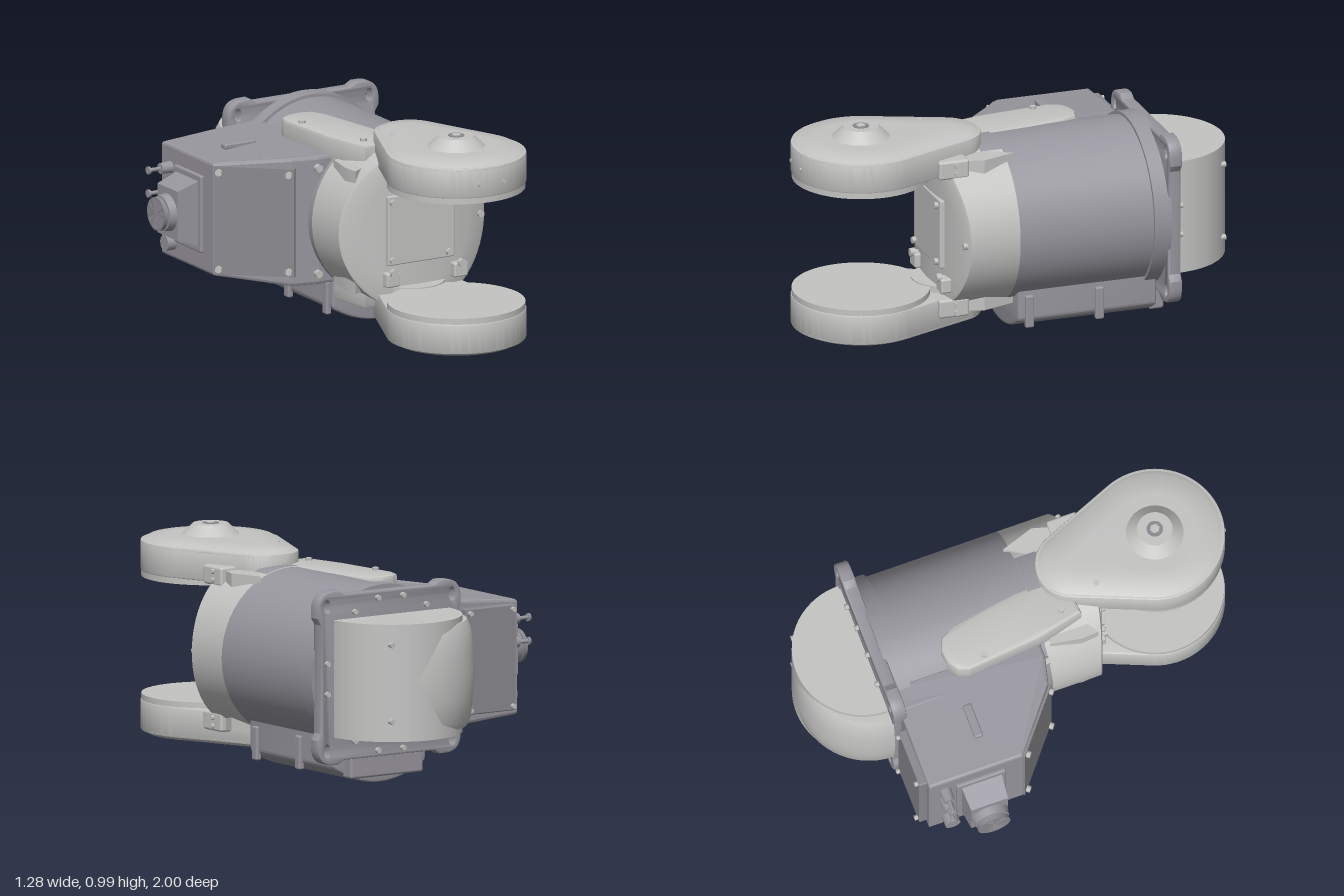
import * as THREE from 'three';
import { toCreasedNormals } from 'three/addons/utils/BufferGeometryUtils.js';
import { RoundedBoxGeometry } from 'three/addons/geometries/RoundedBoxGeometry.js';

const mat = (name, color, side = THREE.FrontSide) => {
  const m = new THREE.MeshStandardMaterial({ color, side });
  m.name = name;
  return m;
};

export function createModel() {
  const root = new THREE.Group();
  root.name = 'robotWristUnit';
  const light = mat('lightGrey', 0xc4c4c3, THREE.DoubleSide);
  const dark = mat('violetGrey', 0x98969e, THREE.DoubleSide);
  const panel = mat('panelGrey', 0x8a898f);
  const CX = 0.245, CY = 0.5, R = 0.372;

  const add = (name, geo, m, x = 0, y = 0, z = 0) => {
    const mesh = new THREE.Mesh(geo, m);
    mesh.name = name;
    mesh.position.set(x, y, z);
    root.add(mesh);
    return mesh;
  };
  const box = (name, m, x0, x1, y0, y1, z0, z1, r = 0) => {
    const s = [x1 - x0, y1 - y0, z1 - z0];
    return add(name, r ? new RoundedBoxGeometry(...s, 3, r) : new THREE.BoxGeometry(...s), m,
      (x0 + x1) / 2, (y0 + y1) / 2, (z0 + z1) / 2);
  };
  // Cylinders along an axis; r1 is the radius at the positive end
  const cyl = (name, m, axis, r0, r1, len, x, y, z, sides = 24) => {
    const g = new THREE.CylinderGeometry(r1, r0, len, sides);
    if (axis === 'z') g.rotateX(Math.PI / 2);
    if (axis === 'x') g.rotateZ(-Math.PI / 2);
    return add(name, g, m, x, y, z);
  };
  const bolt = (x, y, z, r = 0.016, axis = 'z') => cyl('bolt', light, axis, r, r, 0.024, x, y, z, 6);
  const crease = (g, a = 0.5) => toCreasedNormals(g, a);
  // Horizontal slab from an (x, z) outline between two heights
  const slabGeo = (shape, y0, y1, bevel = 0, inset = 0) => {
    const g = new THREE.ExtrudeGeometry(shape, {
      depth: Math.abs(y1 - y0) - 2 * bevel, curveSegments: 40, bevelEnabled: bevel > 0,
      bevelThickness: bevel, bevelSize: inset, bevelOffset: -inset, bevelSegments: 2 });
    g.rotateX(Math.PI / 2).translate(0, Math.max(y0, y1) - bevel, 0);
    return crease(g);
  };
  const poly = (pts) => new THREE.Shape(pts.map(p => new THREE.Vector2(...p)));

  // Main barrel with rear collar
  cyl('mainBarrel', dark, 'z', R, R, 0.66, CX, CY, -0.25, 64);
  cyl('barrelCollar', dark, 'z', 0.386, 0.386, 0.08, CX, CY, -0.58, 64);

  // Light nose whose front face curves back towards the sides
  const profile = [[R, 0.08], [R, 0.29], [R, 0.375], [0.36, 0.38], [0.27, 0.38], [0.18, 0.38], [0.09, 0.38], [0, 0.38]]
    .map(p => new THREE.Vector2(...p));
  const nose = new THREE.LatheGeometry(profile, 64).rotateX(Math.PI / 2);
  const np = nose.attributes.position;
  for (let i = 0; i < np.count; i++)
    if (np.getZ(i) > 0.3) np.setZ(i, np.getZ(i) - 0.5 * np.getX(i) ** 2);
  add('frontNose', crease(nose), light, CX, CY, 0);
  add('topDarkPatch', new THREE.CylinderGeometry(R + 0.003, R + 0.003, 0.1, 10, 1, true, Math.PI - 0.35, 0.47)
    .rotateX(Math.PI / 2), dark, CX, CY, 0.13);

  // Front inspection plate and its bolts
  box('frontPlate', light, 0.08, 0.42, 0.345, 0.66, 0.35, 0.385, 0.006);
  for (const x of [0.1, 0.388]) for (const y of [0.37, 0.632]) bolt(x, y, 0.39);
  bolt(0.585, 0.5, 0.325);
  for (const x of [0.1, 0.445]) {
    box('stopBracket', light, x - 0.035, x + 0.035, 0.25, 0.315, 0.35, 0.4, 0.008);
    bolt(x, 0.315, 0.4, 0.02);
  }

  // Rounded square flange with corner slots
  const flange = new THREE.Shape();
  const h = 0.385, c = 0.085, w = 0.018, k = 0.27;
  flange.moveTo(-h + c, -h);
  for (let i = 0; i < 4; i++) {
    const rot = (x, y) => {
      const a = i * Math.PI / 2, C = Math.cos(a), S = Math.sin(a);
      return [x * C - y * S, x * S + y * C];
    };
    flange.lineTo(...rot(-k, -h));
    flange.lineTo(...rot(-k + 0.03, -h + w));
    flange.lineTo(...rot(k - 0.03, -h + w));
    flange.lineTo(...rot(k, -h));
    flange.lineTo(...rot(h - c, -h));
    flange.quadraticCurveTo(...rot(h, -h), ...rot(h, -h + c));
  }
  for (const sx of [-1, 1]) for (const sy of [-1, 1]) {
    const hole = new THREE.Path();
    hole.absellipse(sx * 0.335, sy * 0.32, 0.016, 0.028, 0, Math.PI * 2, true);
    flange.holes.push(hole);
  }
  add('mountingFlange', crease(new THREE.ExtrudeGeometry(flange, {
    depth: 0.045, bevelThickness: 0.008, bevelSize: 0.008, bevelOffset: -0.008, bevelSegments: 2, curveSegments: 10 })),
    dark, CX, CY, -0.66);
  for (let i = 0; i < 16; i++) {
    const a = (i + 0.5) * Math.PI / 8;
    bolt(CX + 0.345 * Math.cos(a), CY + 0.345 * Math.sin(a), -0.672, 0.013);
  }

  // Rear rounded wrist housing: half drum and an offset bulged shell
  const half = new THREE.CylinderGeometry(0.31, 0.31, 0.52, 48, 1, false, Math.PI / 2, Math.PI);
  add('rearDrum', half, light, 0.24, CY, -0.675);
  box('rearDrumRoot', light, -0.06, 0.54, 0.25, 0.75, -0.69, -0.64);
  const bulge = [[0, -0.235], [0.3, -0.235], [0.318, -0.2], [0.328, -0.1], [0.336, 0], [0.328, 0.1], [0.318, 0.2], [0.3, 0.235], [0, 0.235]]
    .map(p => new THREE.Vector2(...p));
  add('rearShell', crease(new THREE.LatheGeometry(bulge, 40, Math.PI / 2, Math.PI), 0.6), light, 0.195, CY, -0.662);
  for (const y of [0.33, 0.67]) bolt(0.42, y, -0.93, 0.014);

  // Side connector housing, growing taller towards the barrel
  const housing = slabGeo(poly([[-0.47, -0.625], [-0.47, -0.19], [-0.2, 0.03], [-0.08, 0.06], [0.02, 0.06], [0.02, -0.625]]),
    -0.255, 0.255, 0.012, 0.012);
  const hp = housing.attributes.position;
  for (let i = 0; i < hp.count; i++)
    hp.setY(i, hp.getY(i) * (1 + 0.14 * Math.min(1, (hp.getX(i) + 0.47) / 0.25)));
  housing.computeVertexNormals();
  add('connectorHousing', housing, dark, 0, CY, 0);
  box('housingRearCover', panel, -0.44, -0.17, 0.27, 0.74, -0.66, -0.62, 0.006);
  for (const x of [-0.42, -0.19]) for (const y of [0.29, 0.72]) bolt(x, y, -0.664, 0.012);
  box('housingRib', dark, -0.33, -0.17, 0.765, 0.79, -0.36, -0.32, 0.008);
  box('housingShoulder', dark, -0.11, 0.02, 0.215, 0.785, -0.62, -0.1, 0.02);

  // Slanted cover with corner bolts
  const cover = new THREE.Group();
  cover.name = 'slantedCover';
  cover.position.set(-0.329, CY, -0.074);
  cover.rotation.y = -0.683;
  root.add(cover);
  const plate = new THREE.Mesh(new THREE.BoxGeometry(0.36, 0.49, 0.02), panel);
  plate.name = 'coverPlate';
  cover.add(plate);
  for (const x of [-0.155, 0.155]) for (const y of [-0.22, 0.22]) {
    const b = bolt(x, y, 0.016);
    cover.add(b);
  }
  for (const y of [0.26, 0.74]) bolt(-0.085, y, 0.065, 0.019);

  // Large plug on the side
  const plug = new THREE.BoxGeometry(0.12, 0.31, 0.19);
  const pp = plug.attributes.position;
  for (let i = 0; i < pp.count; i++)
    if (pp.getX(i) < 0) pp.setXYZ(i, pp.getX(i), pp.getY(i) * 0.72, pp.getZ(i) * 0.9);
  plug.computeVertexNormals();
  add('plugBase', plug, dark, -0.525, 0.505, -0.385);
  cyl('plugCollar', dark, 'x', 0.078, 0.085, 0.04, -0.6, 0.505, -0.385, 32);
  cyl('plugCap', dark, 'x', 0.066, 0.066, 0.06, -0.615, 0.505, -0.385, 32);
  cyl('plugRim', panel, 'x', 0.075, 0.075, 0.018, -0.636, 0.505, -0.385, 32);
  box('plugFoot', dark, -0.485, -0.46, 0.33, 0.68, -0.5, -0.27, 0.008);

  // Air fittings with pins
  for (const y of [0.655, 0.55]) {
    cyl('fittingBody', dark, 'x', 0.024, 0.028, 0.06, -0.495, y, -0.55, 12);
    cyl('fittingPin', dark, 'x', 0.009, 0.009, 0.07, -0.55, y, -0.55, 10);
    cyl('fittingTip', dark, 'x', 0.018, 0.018, 0.01, -0.583, y, -0.55, 12);
  }
  cyl('lowerFitting', dark, 'x', 0.035, 0.035, 0.05, -0.49, 0.32, -0.53, 16);

  // Underslung box with a bowed bottom
  const belly = new THREE.Shape();
  belly.moveTo(0, 0.24);
  belly.lineTo(0, 0.1);
  belly.quadraticCurveTo(0, 0.08, 0.02, 0.07);
  belly.quadraticCurveTo(0.245, -0.06, 0.47, 0.07);
  belly.quadraticCurveTo(0.49, 0.08, 0.49, 0.1);
  belly.lineTo(0.49, 0.24);
  add('bellyBox', crease(new THREE.ExtrudeGeometry(belly, { depth: 0.62, bevelThickness: 0.012,
    bevelSize: 0.012, bevelOffset: -0.012, bevelSegments: 3, curveSegments: 16 })), dark, 0, 0, -0.585);
  box('bellyRearLedge', dark, 0.05, 0.44, 0.04, 0.2, -0.65, -0.58, 0.012);
  for (const z of [-0.005, -0.33]) for (const x of [0, 0.49])
    box('bellyStrap', dark, x - 0.014, x + 0.014, 0.05, 0.2, z - 0.02, z + 0.02, 0.008);

  // Teardrop outline shared by both fork arms
  const r0 = 0.308, r1 = 0.16, d = 0.39, AX = 0.243, AZ = 0.69;
  const beta = Math.acos((r0 - r1) / d), a0 = -Math.PI / 2 + beta, a1 = Math.PI * 1.5 - beta;
  const drop = new THREE.Shape();
  drop.absarc(0, 0, r0, a0, a1, false);
  drop.absarc(0, -d, r1, a1, a0 + Math.PI * 2, false);

  // Fork arms, mirrored about the mid height
  for (const up of [true, false]) {
    const Y = y => (up ? y : 1 - y), n = up ? 'upper' : 'lower';
    add(n + 'Arm', slabGeo(drop, Y(0.785), Y(0.922), 0.008, 0.008), light, AX, 0, AZ);
    add(n + 'ArmDome', slabGeo(drop, Y(0.88), Y(0.944), 0.03, 0.12), light, AX, 0, AZ);
    cyl(n + 'ArmDisc', light, 'y', 0.304, 0.304, 0.05, AX, Y(0.785), AZ, 64);
    cyl(n + 'ArmRoot', light, 'y', 0.15, 0.15, 0.09, AX, Y(0.8), 0.3, 32);
    for (const z of [0.2, 0.945])
      box(n + 'ArmTab', light, AX - 0.075, AX + 0.075, Math.min(Y(0.91), Y(0.935)), Math.max(Y(0.91), Y(0.935)), z - 0.018, z + 0.018, 0.01);
    box(n + 'ArmBracket', light, 0.4, 0.485, Math.min(Y(0.78), Y(0.865)), Math.max(Y(0.78), Y(0.865)), 0.27, 0.41, 0.012);
    for (const y of [0.805, 0.843]) bolt(0.487, Y(y), 0.33, 0.012, 'x');
    // Root fairing lying on the barrel
    const fair = up
      ? [[-0.05, -0.28], [-0.035, -0.33], [0.01, -0.36], [0.07, -0.37], [0.13, -0.35], [0.165, -0.28], [0.19, -0.14], [0.22, 0.02], [0.23, 0.25], [0.03, 0.27], [-0.02, 0.05]]
      : [[0.0, 0.06], [0.22, 0.06], [0.23, 0.25], [0.03, 0.27]];
    add(n + 'ArmFairing', slabGeo(poly(fair), Y(0.74), Y(0.872), 0.015, 0.015), light);
    add(n + 'ArmSideLug', slabGeo(poly([[-0.03, 0.1], [0.03, 0.12], [0.04, 0.26], [-0.05, 0.32], [-0.055, 0.24]]),
      Y(0.72), Y(0.78)), light);
    add(n + 'ArmTongue', slabGeo(poly([[0.43, 0.05], [0.48, 0.2], [0.44, 0.34], [0.33, 0.3], [0.35, 0.18]]),
      Y(0.76), Y(0.85)), light);
  }
  // Small bolts and outer tab on the arm rim and fairing
  for (const x of [0.185, 0.303]) bolt(x, 0.845, 0.985, 0.01);
  for (const [x, z] of [[-0.01, -0.2], [0.07, 0.19], [0.16, 0.2]]) bolt(x, 0.872, z, 0.015, 'y');
  bolt(0.115, 0.928, 0.37, 0.014, 'y');

  // Hub cone on the upper arm
  cyl('hubCone', light, 'y', 0.135, 0.078, 0.055, AX, 0.963, AZ, 40);
  cyl('hubNut', panel, 'y', 0.036, 0.036, 0.01, AX, 0.988, AZ, 24);
  cyl('hubScrew', light, 'y', 0.022, 0.022, 0.01, AX, 0.991, AZ, 6);

  return root;
}
